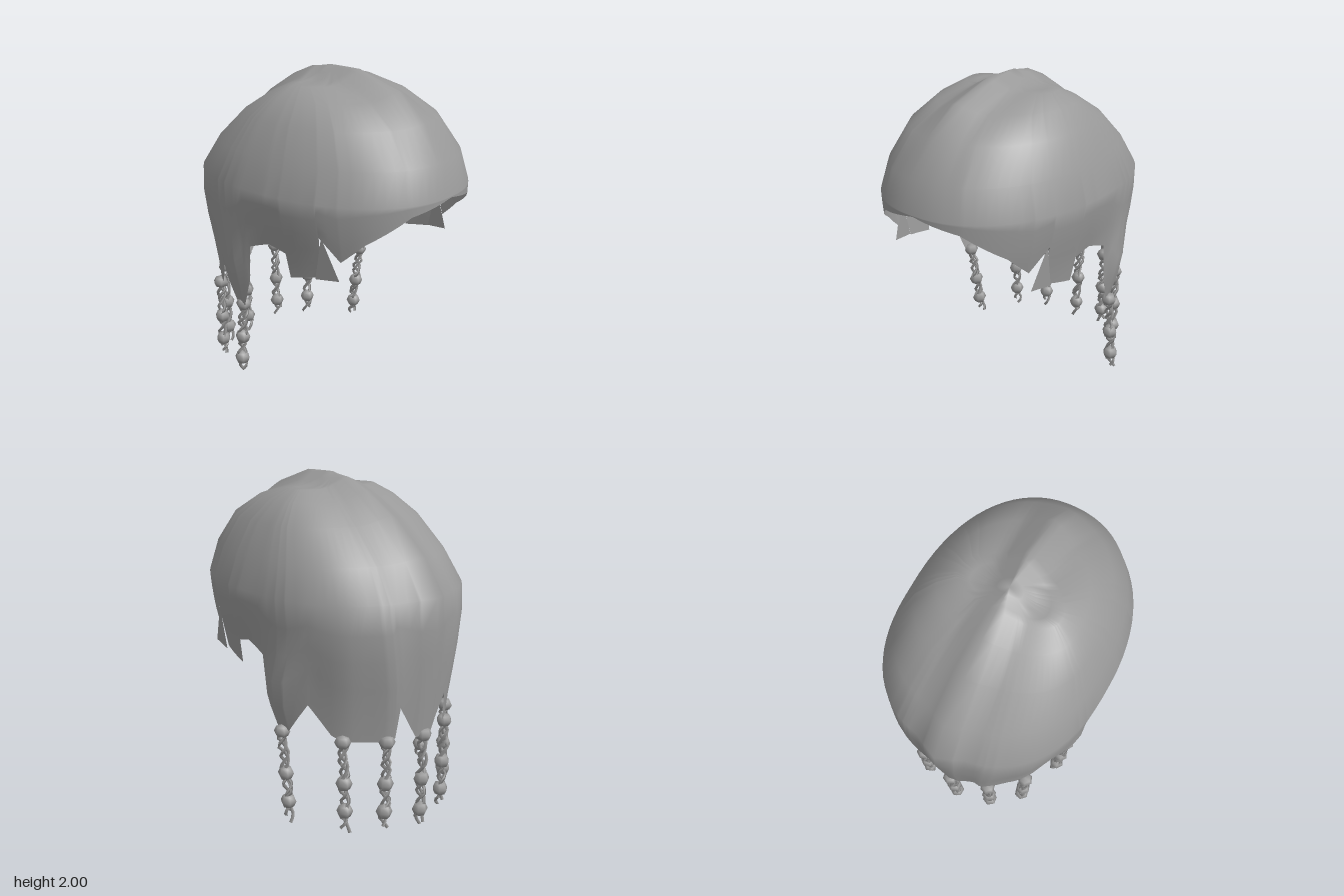
import * as THREE from 'three';

// Height, half width, front depth, back depth of the cap
const PROFILE = [
  [1.92, 0.3, 0.2, 0.12], [1.86, 0.4, 0.46, 0.26], [1.75, 0.505, 0.66, 0.44],
  [1.57, 0.585, 0.81, 0.65], [1.39, 0.645, 0.86, 0.785], [1.18, 0.635, 0.86, 0.815],
  [0.9, 0.61, 0.84, 0.81], [0.6, 0.585, 0.8, 0.78],
];

// Hem height by angle from the front, for one side
const HEM = [
  [0, 1.385], [23, 1.33], [45, 1.18], [56, 1.06], [64, 1.2], [65, 0.95], [79, 0.9],
  [80, 1.05], [87, 1.08], [95, 1.03], [98, 0.8], [104, 0.6], [109, 0.6], [120, 0.8],
  [130, 0.63], [135, 0.6], [157, 0.6], [161, 0.62], [163, 0.8], [174, 0.6], [180, 0.59],
];

const { lerp, smoothstep } = THREE.MathUtils;

function hemAt(angle) {
  const k = Math.max(1, HEM.findIndex((h) => h[0] >= angle));
  const [a0, y0] = HEM[k - 1], [a1, y1] = HEM[k];
  return lerp(y0, y1, (angle - a0) / (a1 - a0));
}

function profileAt(y) {
  let k = PROFILE.findIndex((p) => p[0] <= y);
  if (k < 0) k = PROFILE.length - 1;
  k = Math.max(1, k);
  const a = PROFILE[k - 1], b = PROFILE[k];
  const t = (y - a[0]) / (b[0] - a[0]);
  return a.map((v, i) => lerp(v, b[i], t));
}

// Point of the cap at an angle (degrees) and height; shrink < 1 fills the crown
function capPoint(angle, y, shrink = 1) {
  const r = THREE.MathUtils.degToRad(angle);
  const s = Math.sin(r), c = Math.cos(r);
  const [, w, front, back] = profileAt(y);
  // full and boxy at the brow, a plain ellipse at the hem
  const backPower = lerp(1, 0.83, smoothstep(y, 0.75, 1.3));
  const power = lerp(0.92, backPower, smoothstep(-c, -0.2, 0.2));
  const bend = (v) => Math.sign(v) * Math.abs(v) ** power;
  const p = new THREE.Vector3(bend(s) * w * shrink, y, bend(c) * (c < 0 ? back : front) * shrink);
  // soft vertical folds at the back
  if (c < 0) p.z *= 1 + 0.01 * smoothstep(1.5 - y, 0, 0.5) * Math.cos(r * 16);
  // sideburns and ear openings lean inward
  p.x *= 1 - 0.085 * smoothstep(1.4 - y, 0, 0.5) * smoothstep(c, -0.3, 0.1);
  // raised ridge along the middle
  const fade = smoothstep(y, 0.9, 1.45) * (1 - smoothstep(p.z, 0.3, 0.8));
  const height = lerp(0.06, 0.08, smoothstep(p.z, -0.13, 0.05));
  const ridge = height * Math.max(0, 1 - Math.abs(p.x) / 0.15) * fade;
  const out = new THREE.Vector3(0, p.y - 1.25, p.z).normalize();
  p.addScaledVector(out, ridge);
  // bulge of the panels behind the ear openings
  const bulge = Math.exp(-(((p.z + 0.24) / 0.12) ** 2) - ((y - 0.86) / 0.16) ** 2);
  p.x += (p.x > 0 ? 0.055 : -0.03) * bulge;
  return p;
}

function capGeometry() {
  const set = new Set(HEM.map((h) => h[0]));
  for (let a = 0; a <= 180; a += 5) set.add(a);
  const half = [...set].sort((a, b) => a - b);
  const angles = [...half, ...half.slice(1, -1).reverse().map((a) => 360 - a)];
  const pos = [0, 2, 0], index = [];
  const crown = [0.25, 0.48, 0.75], upper = PROFILE.slice(0, 5).map((p) => p[0]);
  const lowerRows = 5, rows = crown.length + upper.length + lowerRows;
  for (const a of angles) {
    const hem = hemAt(a > 180 ? 360 - a : a);
    for (const f of crown) pos.push(...capPoint(a, 1.92, f));
    for (const y of upper) pos.push(...capPoint(a, y));
    for (let i = 1; i <= lowerRows; i++) pos.push(...capPoint(a, lerp(1.39, hem, i / lowerRows)));
  }
  const n = angles.length;
  for (let j = 0; j < n; j++) {
    const p = 1 + j * rows, q = 1 + ((j + 1) % n) * rows;
    index.push(0, p, q);
    for (let i = 0; i < rows - 1; i++) {
      index.push(p + i, p + i + 1, q + i, q + i, p + i + 1, q + i + 1);
    }
  }
  const g = new THREE.BufferGeometry();
  g.setAttribute('position', new THREE.Float32BufferAttribute(pos, 3));
  g.setIndex(index);
  g.computeVertexNormals();
  return g;
}

// Pointed lock in front of each sideburn
function lockGeometry(side) {
  const pts = [[0.55, 1.2, 0.41], [0.515, 0.96, 0.51], [0.54, 0.94, 0.36]];
  if (side < 0) pts.reverse();
  const g = new THREE.BufferGeometry();
  g.setAttribute('position', new THREE.Float32BufferAttribute(pts.flatMap(([x, y, z]) => [x * side, y, z]), 3));
  g.computeVertexNormals();
  return g;
}

// Three jagged strands wound round each other, with beads on them
function makeBraid(top, end, beadHeights, phase, material) {
  const braid = new THREE.Group();
  const at = (y) => top.clone().lerp(end, (top.y - y) / (top.y - end.y));
  for (let k = 0; k < 3; k++) {
    const points = [];
    const steps = 15;
    for (let i = 0; i <= steps; i++) {
      const t = i / steps;
      const turn = phase + k * 2.094 + i * 1.25;
      const r = 0.022 + 0.009 * Math.sin(i * 2.3 + k + phase);
      const p = top.clone().lerp(end, t * (1 - 0.05 * k));
      points.push(p.add(new THREE.Vector3(Math.cos(turn) * r, 0, Math.sin(turn) * r)));
    }
    const path = new THREE.CatmullRomCurve3(points);
    const strand = new THREE.Mesh(new THREE.TubeGeometry(path, 24, 0.011, 3), material);
    strand.name = 'strand';
    braid.add(strand);
  }
  beadHeights.forEach((y, i) => {
    const bead = new THREE.Mesh(new THREE.SphereGeometry(0.048, 6, 4), material);
    bead.name = 'bead';
    bead.position.copy(at(y));
    bead.rotation.y = phase + i;
    bead.scale.set(1, i ? 0.95 : 0.85, 1);
    braid.add(bead);
  });
  return braid;
}

export function createModel() {
  const model = new THREE.Group();
  model.name = 'braidedHair';
  const hair = new THREE.MeshStandardMaterial({ color: 0x999999, side: THREE.DoubleSide });
  hair.name = 'hairGrey';

  const cap = new THREE.Mesh(capGeometry(), hair);
  cap.name = 'hairCap';
  model.add(cap);

  for (const side of [-1, 1]) {
    const lock = new THREE.Mesh(lockGeometry(side), hair);
    lock.name = side > 0 ? 'leftLock' : 'rightLock';
    model.add(lock);
  }

  // top x, top z, end x, end z, end y, lower bead height
  const braids = [
    [-0.545, -0.22, -0.52, -0.29, 0.09, 0.2], [-0.425, -0.56, -0.41, -0.58, 0.06, 0.18],
    [-0.24, -0.72, -0.24, -0.71, 0.04, 0.15], [0, -0.78, -0.01, -0.76, 0.01, 0.12],
    [0.23, -0.72, 0.235, -0.71, 0.06, 0.17], [0.415, -0.56, 0.41, -0.58, 0.05, 0.18],
    [0.575, -0.22, 0.58, -0.29, 0.06, 0.18],
  ];
  braids.forEach(([x, z, ex, ez, ey, low], i) => {
    const braid = makeBraid(new THREE.Vector3(x, 0.61, z), new THREE.Vector3(ex, ey, ez), [0.6, low / 2 + 0.26, low], i * 0.9, hair);
    braid.name = 'braid' + (i + 1);
    model.add(braid);
  });
  return model;
}
